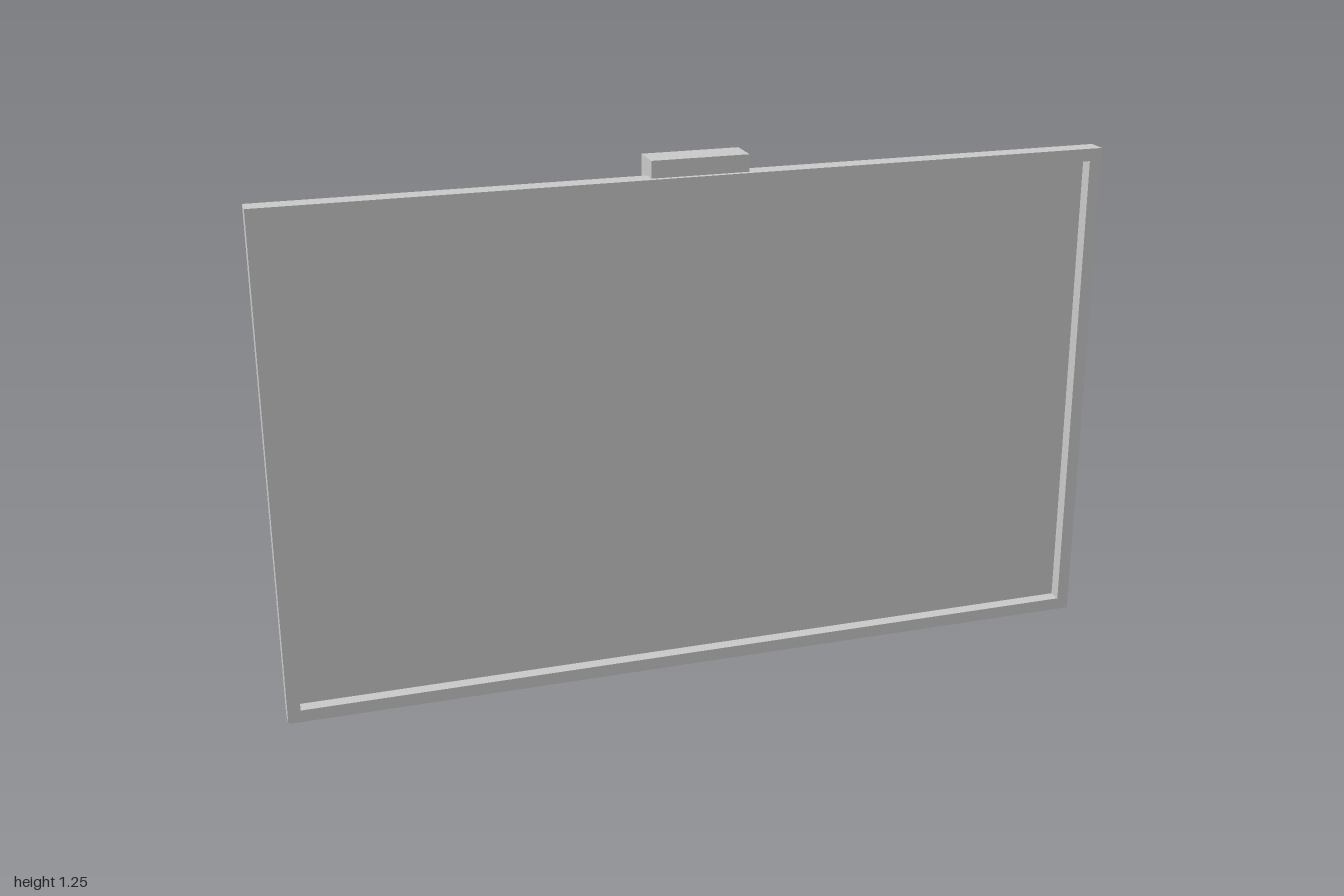
import * as THREE from 'three';

const WIDTH = 2, HEIGHT = 1.212, BORDER = 0.03;
const BACK = -0.002, RECESS = 0.014, FRONT = 0.046;

// Rectangle outline centred on x, standing at height y
function rectangle(PathType, w, y, h) {
  const x = w / 2;
  return new PathType([[-x, y], [x, y], [x, y + h], [-x, y + h]].map(p => new THREE.Vector2(...p))).closePath();
}

export function createModel() {
  const group = new THREE.Group();
  const material = new THREE.MeshStandardMaterial({ color: 0xcccccc });

  function add(name, geometry, x, y, z) {
    const mesh = new THREE.Mesh(geometry, material);
    mesh.name = name;
    mesh.position.set(x, y, z);
    group.add(mesh);
  }

  // Flat panel forming the back and the recessed front surface
  add('panel', new THREE.BoxGeometry(WIDTH, HEIGHT, RECESS - BACK), 0, HEIGHT / 2, (RECESS + BACK) / 2);

  // Raised rim around the panel
  const outline = rectangle(THREE.Shape, WIDTH, 0, HEIGHT);
  outline.holes.push(rectangle(THREE.Path, WIDTH - 2 * BORDER, BORDER, HEIGHT - 2 * BORDER));
  add('rim', new THREE.ExtrudeGeometry(outline, { depth: FRONT - RECESS, bevelEnabled: false }), 0, 0, RECESS);

  // Small box sitting on the top edge, overhanging the back
  add('topBox', new THREE.BoxGeometry(0.23, 0.05, 0.079), 0, 1.227, -0.0065);

  return group;
}
